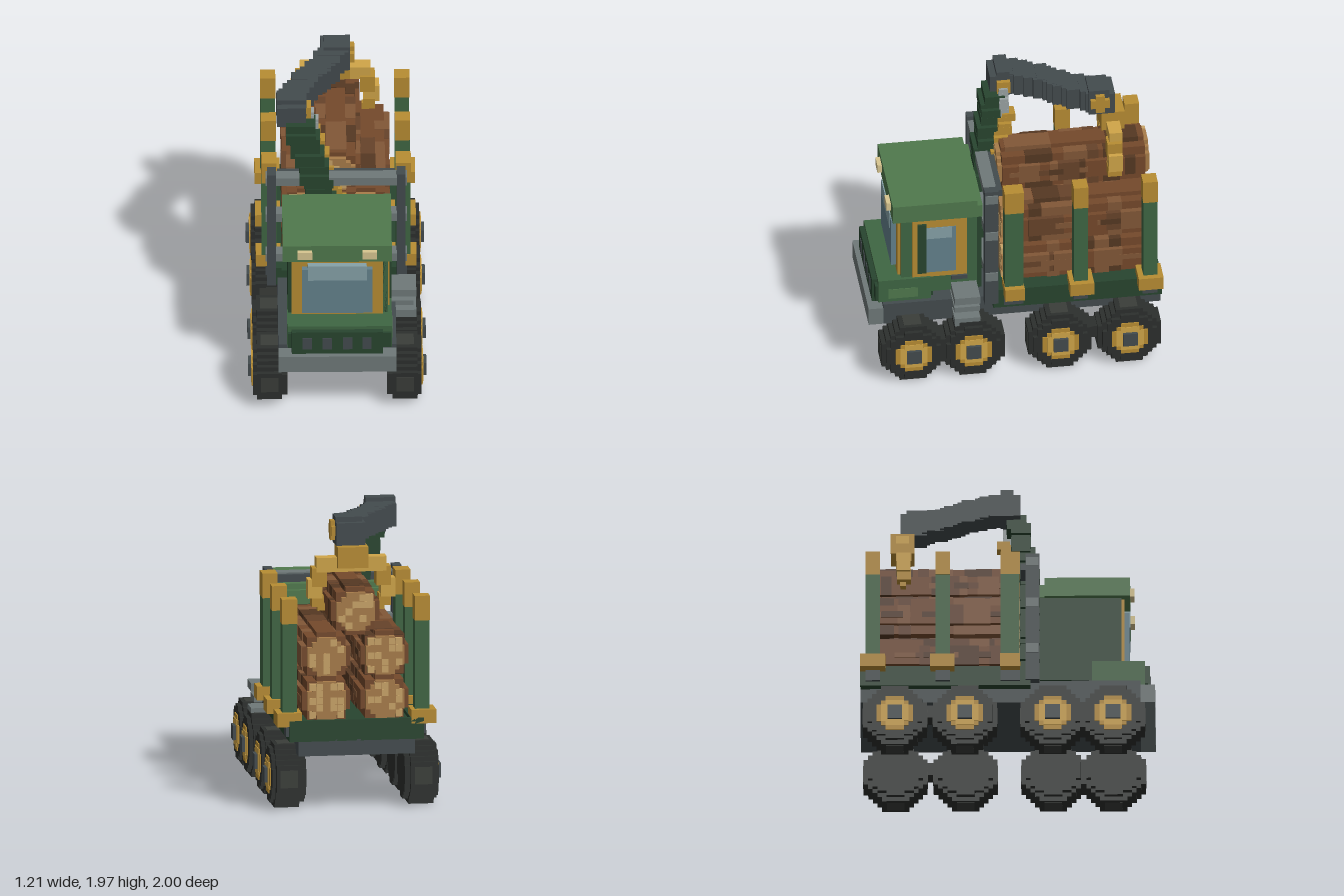
import * as THREE from 'three';

const C = {
  tire: 0x2c2f2d, tread: 0x3a3d39, gold: 0xb88d33, paleGold: 0xd0a548, darkGreen: 0x28452f, green: 0x3f6643,
  lightGreen: 0x50794d, steel: 0x434b4e, grey: 0x6f7979, silver: 0x9aa3a3, glass: 0x64828c, glint: 0x86a2a8,
  lamp: 0xd8c690, bark: 0x75492b, barkDark: 0x553822, barkMid: 0x67432a, barkLight: 0x815737,
  wood: 0xa87c49, woodLight: 0xc9a468,
};
const materials = {};
for (const k in C) materials[k] = new THREE.MeshStandardMaterial({ color: C[k], flatShading: true });

let seed = 7;
const rand = () => (seed = (seed * 16807) % 2147483647) / 2147483647;

// Outline of a circle drawn in square steps of size u
function steppedCircle(r, u) {
  const n = Math.round(r / u), q = [];
  for (let k = 0; k < n; k++) {
    const w = Math.round(Math.sqrt(n * n - (k + 0.5) ** 2)) * u;
    if (q.length && q[q.length - 1][0] === w) q.pop();
    else q.push([w, k * u]);
    q.push([w, (k + 1) * u]);
  }
  q.shift();
  const rev = [...q].reverse();
  const pts = [...q, ...rev.map(([x, y]) => [-x, y]), ...q.map(([x, y]) => [-x, -y]), ...rev.map(([x, y]) => [x, -y])];
  return new THREE.Shape(pts.map(([x, y]) => new THREE.Vector2(x, y)));
}

export function createModel() {
  const root = new THREE.Group();
  root.name = 'logTruck';
  let group = root;
  const part = (name) => { group = new THREE.Group(); group.name = name; root.add(group); };
  const add = (name, color, geo) => {
    const m = new THREE.Mesh(geo, materials[color]);
    m.name = name;
    group.add(m);
    return m;
  };
  const box = (name, color, x0, x1, y0, y1, z0, z1) => {
    const m = add(name, color, new THREE.BoxGeometry(x1 - x0, y1 - y0, z1 - z0));
    m.position.set((x0 + x1) / 2, (y0 + y1) / 2, (z0 + z1) / 2);
    return m;
  };
  // Mirrored pair of boxes on both sides of x = 0
  const pair = (name, color, x0, x1, ...r) => {
    box(name, color, x0, x1, ...r);
    box(name, color, -x1, -x0, ...r);
  };
  const discZ = (name, color, r, u, x, y, z0, z1) => {
    const g = new THREE.ExtrudeGeometry(steppedCircle(r, u), { depth: z1 - z0, bevelEnabled: false });
    add(name, color, g.translate(x, y, z0));
  };
  const discX = (name, color, r, u, x0, x1, y, z) => {
    const g = new THREE.ExtrudeGeometry(steppedCircle(r, u), { depth: x1 - x0, bevelEnabled: false });
    add(name, color, g.rotateY(Math.PI / 2).translate(x0, y, z));
  };
  // Slanted beam made of boxes snapped to a grid
  const beam = (name, color, a, b, size, n) => {
    const snap = (v) => Math.round(v / 0.03) * 0.03;
    for (let i = 0; i <= n; i++) {
      const p = a.map((v, k) => snap(v + (b[k] - v) * i / n));
      const e = size.map((s, k) => s / 2 + (i % 2) * 0.001 * (k + 1));
      box(name, color, p[0] - e[0], p[0] + e[0], p[1] - e[1], p[1] + e[1], p[2] - e[2], p[2] + e[2]);
    }
  };

  // Wheels
  part('wheels');
  for (const z of [0.715, 0.305, -0.29, -0.765]) for (const s of [-1, 1]) {
    const d = (name, color, r, u, a, b) => discX(name, color, r, u, s > 0 ? a : -b, s > 0 ? b : -a, 0.22, z);
    d('tire', 'tire', 0.217, 0.031, 0.375, 0.545);
    d('tireWall', 'tire', 0.186, 0.031, 0.338, 0.572);
    d('rim', 'gold', 0.124, 0.031, 0.36, 0.58);
    d('rimPlate', 'paleGold', 0.093, 0.031, 0.37, 0.584);
    d('hub', 'steel', 0.05, 0.05, 0.38, 0.605);
    const t = s * 0.46;
    box('tread', 'tread', t - 0.06, t + 0.06, 0, 0.44, z - 0.06, z + 0.06);
    box('tread', 'tread', t - 0.06, t + 0.06, 0.16, 0.28, z - 0.22, z + 0.22);
  }
  pair('bogieBeam', 'tire', 0.4, 0.52, 0.21, 0.3, 0.4, 0.6);
  pair('bogieBeam', 'tire', 0.4, 0.52, 0.21, 0.3, -0.65, -0.4);

  // Chassis and bed
  part('chassis');
  box('frame', 'steel', -0.4, 0.4, 0.38, 0.54, 0.12, 0.9);
  box('rearFrame', 'steel', -0.4, 0.4, 0.38, 0.49, -1, 0.12);
  box('bumper', 'grey', -0.4, 0.4, 0.38, 0.51, 0.9, 1);
  box('bed', 'darkGreen', -0.46, 0.46, 0.48, 0.6, -1, 0.155);
  pair('bedRail', 'darkGreen', 0.37, 0.46, 0.6, 0.625, -1, 0.155);
  box('tailRail', 'darkGreen', -0.4, 0.4, 0.6, 0.625, -1, -0.97);
  [[0.41, 0.47], [0.51, 0.55], [0.585, 0.64]].forEach(([a, b], i) =>
    box('step', 'grey', 0.3, 0.54 - (i === 1 ? 0.02 : 0), a, b, 0.255, 0.43));

  // Stakes holding the load
  part('stakes');
  for (const [z, w, b0, b1] of [[0.017, 0.066, -0.05, 0.085], [-0.44, 0.05, -0.525, -0.36], [-0.915, 0.05, -1, -0.83]]) {
    pair('stake', 'green', 0.405, 0.505, 0.6, 1.3, z - w + 0.002, z + w - 0.002);
    pair('stakeCap', 'gold', 0.403, 0.507, 1.29, 1.46, z - w, z + w);
    pair('stakeBase', 'gold', 0.375, 0.545, 0.585, 0.68, b0, b1);
    pair('stakeBracket', 'steel', 0.4, 0.48, 0.51, 0.585, z - w, z + w);
  }

  // Headboard behind the cab
  part('headboard');
  pair('upright', 'steel', 0.41, 0.47, 0.52, 1.46, 0.12, 0.215);
  for (const [a, b] of [[0.72, 0.785], [1.06, 1.125], [1.365, 1.43]])
    box('crossbar', 'grey', -0.48, 0.48, a, b, 0.125, 0.21);
  box('backPlate', 'steel', -0.4, 0.4, 1.37, 1.42, 0.085, 0.125);

  // Cab
  part('cab');
  box('cabBody', 'darkGreen', -0.335, 0.335, 0.575, 1.2, 0.22, 0.77);
  box('cabFoot', 'darkGreen', -0.335, 0.335, 0.53, 0.6, 0.55, 0.9);
  box('roof', 'lightGreen', -0.37, 0.37, 1.19, 1.325, 0.25, 0.83);
  box('roofRear', 'lightGreen', -0.34, 0.37, 1.19, 1.285, 0.215, 0.25);
  pair('headlamp', 'lamp', 0.17, 0.27, 1.23, 1.29, 0.82, 0.86);
  box('windshieldFrame', 'gold', -0.31, 0.31, 0.71, 1.19, 0.76, 0.79);
  box('windshield', 'glass', -0.24, 0.24, 0.75, 1.12, 0.77, 0.825);
  box('windshieldGlint', 'glint', -0.2, 0.2, 1.03, 1.15, 0.77, 0.83);
  box('sidePanel', 'green', 0.3, 0.345, 0.58, 1.19, 0.25, 0.77);
  box('doorFrame', 'gold', 0.3, 0.355, 0.71, 1.19, 0.32, 0.695);
  box('doorGlass', 'glass', 0.3, 0.36, 0.75, 1.12, 0.395, 0.63);
  box('doorGlint', 'glint', 0.3, 0.362, 1.03, 1.12, 0.425, 0.6);
  box('doorPillar', 'darkGreen', 0.3, 0.37, 0.75, 1.155, 0.6, 0.66);
  box('doorHandle', 'steel', 0.3, 0.37, 0.68, 0.71, 0.32, 0.43);

  // Hood and grille
  part('hood');
  box('hoodTop', 'green', -0.34, 0.37, 0.54, 0.715, 0.57, 0.93);
  box('hoodInset', 'lightGreen', 0.3, 0.374, 0.565, 0.64, 0.66, 0.86);
  box('grille', 'darkGreen', -0.31, 0.31, 0.51, 0.69, 0.9, 0.965);
  box('grilleSide', 'darkGreen', -0.335, 0.365, 0.55, 0.67, 0.9, 0.95);
  for (const x of [-0.205, -0.07, 0.07, 0.2])
    box('grilleSlot', 'steel', x - 0.032, x + 0.032, 0.55, 0.645, 0.95, 0.97);

  // Logs: stepped cylinders with bark patches and sawn ends
  part('logs');
  const R = 0.165, U = 0.033, Z0 = -0.96, Z1 = 0.08;
  for (const [x, y] of [[-0.2, 0.75], [0.2, 0.75], [-0.2, 1.055], [0.2, 1.055], [0, 1.362]]) {
    discZ('log', 'bark', R, U, x, y, Z0 + 0.03, Z1 - 0.03);
    discZ('sawnWood', 'wood', R - U, U, x, y, Z0, Z1);
    for (let i = -2; i < 3; i++) for (let j = -2; j < 3; j++) if (rand() < 0.5) {
      const a = x + i * 0.048, b = y + j * 0.048;
      box('woodGrain', 'woodLight', a - 0.023, a + 0.023, b - 0.023, b + 0.023, Z0 - 0.002, Z1 + 0.002);
    }
    const shapes = [[R, 2 * U], [2 * U, R], [4 * U, 4 * U], [R, U / 2]];
    for (let i = 0; i < 20; i++) {
      const [w, h] = shapes[i % 4], len = 0.06 + rand() * 0.2, e = 0.002 + i * 0.0002;
      const z = Z0 + 0.03 + rand() * (Z1 - Z0 - 0.06 - len);
      const color = ['barkDark', 'barkMid', 'barkLight'][Math.floor(rand() * 3)];
      box('barkPatch', color, x - w - e, x + w + e, y - h - e, y + h + e, z, z + len);
    }
  }

  // Crane mast, boom and ram
  part('crane');
  beam('mast', 'darkGreen', [-0.01, 0.6, 0.15], [-0.13, 1.35, 0.15], [0.18, 0.1, 0.13], 14);
  beam('mast', 'darkGreen', [-0.13, 1.37, 0.15], [-0.25, 1.78, 0.06], [0.2, 0.07, 0.13], 11);
  box('elbow', 'steel', -0.405, -0.2, 1.77, 1.965, -0.05, 0.04);
  box('elbowBlock', 'steel', -0.402, -0.205, 1.775, 1.93, -0.12, 0.085);
  box('elbowPin', 'gold', -0.21, -0.17, 1.81, 1.9, -0.05, 0.04);
  beam('boom', 'steel', [-0.3, 1.845, -0.09], [0.01, 1.86, -0.6], [0.18, 0.155, 0.08], 15);
  box('boomEnd', 'steel', -0.1, 0.1, 1.77, 1.93, -0.73, -0.55);
  box('boomEndTop', 'steel', -0.08, 0.1, 1.9, 1.965, -0.69, -0.55);
  box('boomPin', 'gold', 0.05, 0.13, 1.8, 1.935, -0.655, -0.595);
  box('boomPin', 'gold', 0.05, 0.128, 1.835, 1.9, -0.69, -0.56);
  beam('ramRod', 'silver', [-0.17, 1.83, -0.01], [-0.15, 1.68, -0.01], [0.06, 0.05, 0.06], 5);
  beam('ramSleeve', 'gold', [-0.15, 1.66, -0.02], [-0.06, 1.38, 0.06], [0.09, 0.06, 0.09], 9);
  beam('ramSleeve', 'gold', [-0.05, 1.36, 0.09], [0.06, 1.04, 0.09], [0.08, 0.06, 0.04], 10);

  // Grapple
  part('grapple');
  box('rotator', 'gold', -0.11, 0.1, 1.63, 1.775, -0.795, -0.635);
  pair('clawTop', 'paleGold', 0.0, 0.24, 1.6, 1.7, -0.76, -0.67);
  pair('clawArm', 'gold', 0.17, 0.27, 1.5, 1.63, -0.758, -0.655);
  pair('clawKnuckle', 'paleGold', 0.2, 0.3, 1.42, 1.55, -0.755, -0.66);
  pair('clawTip', 'gold', 0.19, 0.27, 1.36, 1.44, -0.752, -0.657);
  pair('clawPoint', 'gold', 0.18, 0.23, 1.33, 1.38, -0.73, -0.69);

  return root;
}
